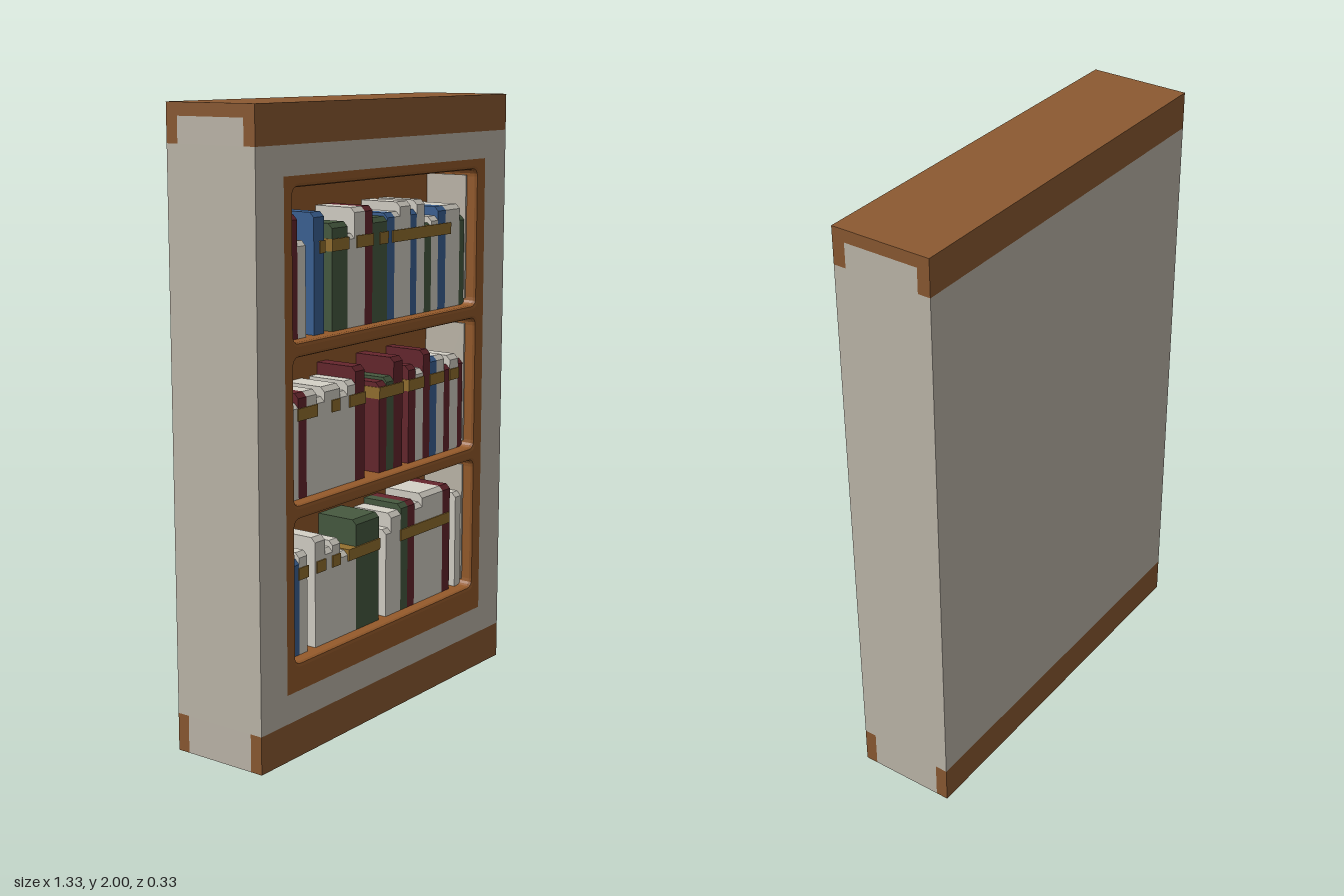
import * as THREE from 'three';

const mat = (name, color) => Object.assign(new THREE.MeshStandardMaterial({ color }), { name });

export function createModel() {
  const wood = mat('wood', 0x8c5a32);
  const innerWood = mat('inner wood', 0x965b2b);
  const plaster = mat('plaster', 0xc0b9ac);
  const gold = mat('gold band', 0x94702f);
  const covers = {
    W: mat('white cover', 0xd6d2c8), R: mat('red cover', 0x66262d),
    G: mat('green cover', 0x475a40), B: mat('blue cover', 0x3b6295),
  };
  const model = new THREE.Group();
  model.name = 'bookcase';

  const add = (name, geometry, material, parent = model) => {
    const mesh = new THREE.Mesh(geometry, material);
    mesh.name = name;
    parent.add(mesh);
    return mesh;
  };
  // Box given by its limits on each axis
  const block = (name, [x0, x1], [y0, y1], [z0, z1], material, parent) => {
    const mesh = add(name, new THREE.BoxGeometry(x1 - x0, y1 - y0, z1 - z0), material, parent);
    mesh.position.set((x0 + x1) / 2, (y0 + y1) / 2, (z0 + z1) / 2);
    return mesh;
  };
  // Rectangle outline with rounded corners
  const outline = (target, x, y0, y1, r) => {
    target.moveTo(-x + r, y0);
    target.lineTo(x - r, y0);
    target.quadraticCurveTo(x, y0, x, y0 + r);
    target.lineTo(x, y1 - r);
    target.quadraticCurveTo(x, y1, x - r, y1);
    target.lineTo(-x + r, y1);
    target.quadraticCurveTo(-x, y1, -x, y1 - r);
    target.lineTo(-x, y0 + r);
    target.quadraticCurveTo(-x, y0, -x + r, y0);
    return target;
  };
  const rect = (target, x, y0, y1) => target.setFromPoints([
    [-x, y0], [x, y0], [x, y1], [-x, y1], [-x, y0]].map(p => new THREE.Vector2(...p)));

  const W = 0.667, D = 0.167, backZ = -0.04, rail = 0.125;

  // Carcass: rear body, ends behind the rails, and front frame
  block('rearBody', [-W, W], [0.122, 1.88], [-D, backZ], plaster);
  block('baseCore', [-W, W], [0, 0.122], [-rail, rail], plaster);
  block('topCore', [-W, W], [1.88, 1.96], [-rail, rail], plaster);
  const frame = rect(new THREE.Shape(), W, 0.122, 1.88);
  frame.holes.push(rect(new THREE.Path(), 0.54, 0.215, 1.79));
  add('frontFrame', new THREE.ExtrudeGeometry(frame, { depth: D - backZ, bevelEnabled: false }),
    plaster).position.z = backZ;

  // Wooden top board and rails, front and back
  block('topBoard', [-W, W], [1.96, 2], [-D, D], wood);
  for (const [side, z] of [['front', [rail, D]], ['back', [-D, -rail]]]) {
    block(side + 'TopRail', [-W, W], [1.88, 1.96], z, wood);
    block(side + 'BottomRail', [-W, W], [0, 0.122], z, wood);
  }

  // Shelf panel with three softly edged niches
  const niches = [[1.298, 1.755], [0.802, 1.252], [0.303, 0.757]];
  const lip = 0.012;
  const panel = rect(new THREE.Shape(), 0.54 + lip, 0.215 - lip, 1.79 + lip);
  for (const [y0, y1] of niches) panel.holes.push(outline(new THREE.Path(), 0.495, y0, y1, 0.025));
  add('shelfPanel', new THREE.ExtrudeGeometry(panel, {
    depth: D - backZ - 2 * lip, bevelSize: lip, bevelThickness: lip,
    bevelOffset: -lip, bevelSegments: 2, curveSegments: 4,
  }), innerWood).position.z = backZ + lip;
  block('nicheBack', [-0.53, 0.53], [0.23, 1.78], [backZ, backZ + 0.008], innerWood);
  for (const [y0, y1] of niches) for (const s of [-1, 1]) {
    block('nicheLining', [s * 0.492 - 0.004, s * 0.492 + 0.004], [y0 + 0.02, y1 - 0.02],
      [backZ, 0.125], plaster);
  }

  // Books: cover, left, right (hundredths) and top height, shelf by shelf
  const shelves = [
    { name: 'topShelf', band: 1.564, books: [
      'B -49 -46 1.59', 'R -46 -42 1.67', 'W -42 -38 1.59', 'B -34 -29 1.67', 'G -25 -17 1.63',
      'W -17 -13.5 1.59', 'W -13.5 -8 1.67', 'R -8 -4 1.67', 'G -4 4 1.63', 'B 4 8 1.64',
      'W 8 11 1.64', 'W 11 17 1.67', 'B 17 20.5 1.64', 'W 20.5 25 1.67', 'G 25 29 1.59',
      'W 29 33 1.61', 'B 33 37.5 1.64', 'W 37.5 46 1.64', 'G 46 49 1.60'],
      bands: [[-31, -29], [-25, -17], [-12, -4], [0, 4], [7, 40]] },
    { name: 'middleShelf', band: 1.065, books: [
      'R -49 -46 1.10', 'W -46 -42 1.10', 'R -42 -38 1.13', 'W -38 -33 1.13', 'W -33 -29 1.10',
      'W -29 -21 1.13', 'W -21 -17 1.10', 'W -17 -13 1.13', 'R -13 -8 1.17', 'R 0 4 1.10',
      'G 4 8 1.11', 'R 8 13 1.17', 'R 16.5 20.5 1.13', 'W 20.5 25 1.11', 'R 25 29 1.17',
      'B 29 33 1.14', 'W 33 37.5 1.14', 'R 37.5 41 1.10', 'W 41 46 1.13', 'R 46 49 1.11'],
      bands: [[-42, -33], [-25, -21.5], [-16, -8], [0, 13], [16.5, 25], [29, 37], [41, 46]] },
    { name: 'bottomShelf', band: 0.564, books: [
      'B -49 -42 0.61', 'W -42 -38 0.63', 'W -34 -29 0.66', 'W -29 -25 0.61', 'W -25 -21 0.63',
      'W -21 -17 0.58', 'W -17 -12.5 0.56', 'G -12.5 0 0.67', 'W 4 7 0.60', 'W 7 12.5 0.65',
      'G 12.5 16.5 0.67', 'R 16.5 20.5 0.67', 'W 20.5 25 0.65', 'W 25 37.5 0.68',
      'R 37.5 42 0.68', 'W 45.5 49 0.64'],
      bands: [[-42, -38], [-33, -29], [-25, -21.5], [-16.5, 0], [12.5, 41]] },
  ];
  const bookBack = backZ + 0.008, bookFront = 0.12, cut = 0.015;
  shelves.forEach(({ name, band, books, bands }, i) => {
    const group = new THREE.Group();
    group.name = name;
    model.add(group);
    const floor = niches[i][0];
    for (const entry of books) {
      const [cover, a, b, top] = entry.split(' ');
      const x0 = a / 100, x1 = b / 100, y1 = +top;
      // Side profile with a chamfered front top edge, extruded along the width
      const side = new THREE.Shape([
        [-bookFront, floor], [-bookBack, floor], [-bookBack, y1],
        [-bookFront + cut, y1], [-bookFront, y1 - cut],
      ].map(p => new THREE.Vector2(...p)));
      const geometry = new THREE.ExtrudeGeometry(side, { depth: x1 - x0, bevelEnabled: false });
      geometry.rotateY(Math.PI / 2);
      add('book', geometry, covers[cover], group).position.x = x0;
    }
    // Gold bands wrapped around the books
    for (const [a, b] of bands) {
      block('goldBand', [a / 100 - 0.003, b / 100 + 0.003], [band - 0.019, band + 0.019],
        [bookBack, bookFront + 0.004], gold, group);
    }
  });
  return model;
}
